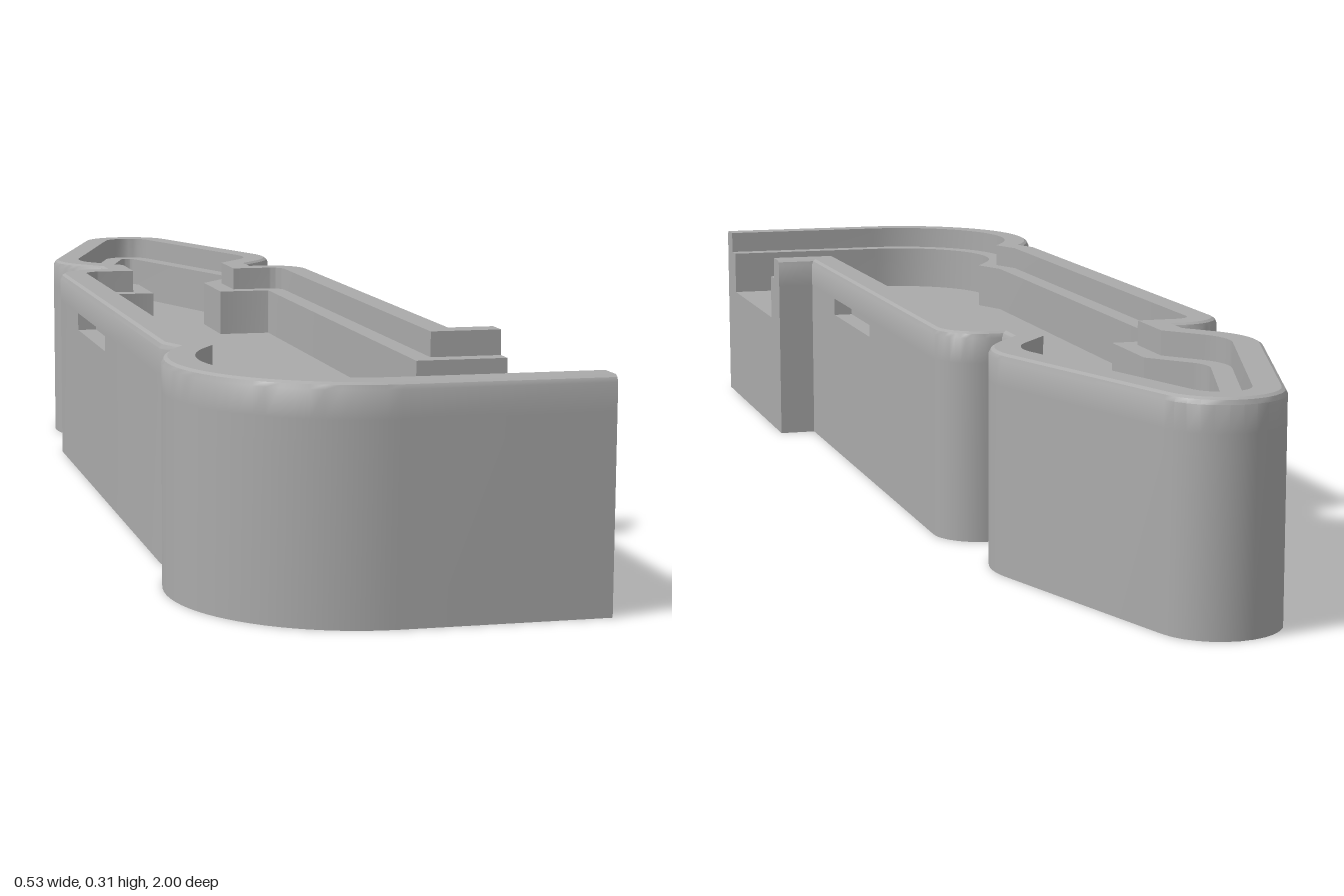
import * as THREE from 'three';
import { toCreasedNormals } from 'three/addons/utils/BufferGeometryUtils.js';

const END_X = 0.265, Z0 = 0.5, Z1 = 1, MID = -0.016;
const SLOT_Y = [0.238, 0.266], SLOT_DEPTH = 0.03;
const SLOTS = [
  { side: 1, x: 0.205, z: [0.065, 0.32] },
  { side: -1, x: -0.237, z: [-0.145, 0.12] },
];

// Wall cross-section: [distance in from the outline, height]
const PROFILE = [
  [0, 0], [0, SLOT_Y[0]], [0, SLOT_Y[1]], [0, 0.303], [0.003, 0.309], [0.008, 0.312],
  [0.045, 0.312], [0.045, 0.275], [0.075, 0.275], [0.075, 0.2],
];

// Outline corners [x, z, fillet radius], open at the flat end
function corners() {
  const [r, l] = SLOTS;
  const neck = [[0.135, -0.4], [0.135, -0.44], [0.213, -0.535, 0.13]];
  const v = [
    [END_X, Z0], [r.x, Z0], [r.x, r.z[1]], [r.x, r.z[0]], [r.x, -0.4, 0.07],
    ...neck.map(([x, z, f]) => [MID + x, z, f]),
    [MID, -1.2, 0.088],
    ...neck.reverse().map(([x, z, f]) => [MID - x, z, f]),
    [l.x, -0.4, 0.07], [l.x, l.z[0]], [l.x, l.z[1]], [l.x, 0.57],
  ];
  // Rounded bulb
  const a0 = Math.atan2(0.14, 0.207), n = 28;
  for (let i = 0; i <= n; i++) {
    const a = -a0 + (a0 + Math.PI / 2) * i / n;
    v.push([-0.015 - 0.25 * Math.cos(a), 0.75 + 0.25 * Math.sin(a)]);
  }
  v.push([END_X, Z1]);
  return v;
}

// Outline moved inwards by d, with fillets; the point count never changes
function outline(d) {
  const v = corners(), last = v.length - 1, out = [];
  const dir = i => {
    const x = v[i + 1][0] - v[i][0], z = v[i + 1][1] - v[i][1], len = Math.hypot(x, z);
    return [x / len, z / len];
  };
  v.forEach(([x, z, fillet], i) => {
    const u = dir(Math.max(i - 1, 0)), w = dir(Math.min(i, last - 1));
    const n1 = [u[1], -u[0]], n2 = [w[1], -w[0]];
    const k = d / (1 + n1[0] * n2[0] + n1[1] * n2[1]);
    const px = x + (n1[0] + n2[0]) * k, pz = z + (n1[1] + n2[1]) * k;
    if (!fillet) { out.push([px, pz]); return; }
    const r = Math.max(fillet - d, 0.001);
    const a1 = Math.atan2(n1[1], n1[0]);
    let turn = Math.atan2(n2[1], n2[0]) - a1;
    turn = Math.atan2(Math.sin(turn), Math.cos(turn));
    const t = r * Math.tan(Math.abs(turn) / 2);
    const cx = px - u[0] * t + n1[0] * r, cz = pz - u[1] * t + n1[1] * r;
    for (let j = 0; j <= 12; j++) {
      const a = a1 + turn * j / 12;
      out.push([cx - r * Math.cos(a), cz - r * Math.sin(a)]);
    }
  });
  return out;
}

// Sweep of the wall section along the outline, leaving the slot openings free
function wallGeometry() {
  const rings = PROFILE.map(([d]) => outline(d));
  const pos = [];
  const inSlot = (p, q) => SLOTS.some(s => [p, q].every(c =>
    Math.abs(c[0] - s.x) < 1e-5 && c[1] > s.z[0] - 1e-5 && c[1] < s.z[1] + 1e-5));
  for (let k = 0; k < PROFILE.length - 1; k++) {
    const y0 = PROFILE[k][1], y1 = PROFILE[k + 1][1];
    for (let i = 0; i < rings[k].length - 1; i++) {
      const a = rings[k][i], b = rings[k][i + 1], c = rings[k + 1][i + 1], e = rings[k + 1][i];
      if (k === 1 && inSlot(a, b)) continue;
      pos.push(a[0], y0, a[1], b[0], y0, b[1], c[0], y1, c[1]);
      pos.push(a[0], y0, a[1], c[0], y1, c[1], e[0], y1, e[1]);
    }
  }
  const g = new THREE.BufferGeometry();
  g.setAttribute('position', new THREE.Float32BufferAttribute(pos, 3));
  return toCreasedNormals(g, 0.5);
}

// Flat cap filling the outline at height y, facing up or down
function cap(d, y, up) {
  const s = up ? -1 : 1;
  const shape = new THREE.Shape(outline(d).map(([x, z]) => new THREE.Vector2(x, s * z)));
  return new THREE.ShapeGeometry(shape).rotateX(s * Math.PI / 2).translate(0, y, 0);
}

// Flat open end, cut through the wall section on both sides
function endFace() {
  const near = PROFILE.map(([d, y]) => new THREE.Vector2(-(Z0 + d), y));
  const far = PROFILE.map(([d, y]) => new THREE.Vector2(-(Z1 - d), y)).reverse();
  return new THREE.ShapeGeometry(new THREE.Shape([...near, ...far]))
    .rotateY(Math.PI / 2).translate(END_X, 0, 0);
}

// Inside-out box that forms a recess in the side wall
function slotRecess({ side, x, z }) {
  const g = new THREE.BoxGeometry(SLOT_DEPTH, SLOT_Y[1] - SLOT_Y[0], z[1] - z[0])
    .scale(-1, 1, 1).toNonIndexed();
  g.computeVertexNormals();
  return g.translate(x - side * SLOT_DEPTH / 2, (SLOT_Y[0] + SLOT_Y[1]) / 2, (z[0] + z[1]) / 2);
}

export function createModel() {
  const grey = new THREE.MeshStandardMaterial({ color: 0xaaaaaa });
  grey.name = 'grey';
  const group = new THREE.Group();
  group.name = 'caseHalf';
  const add = (name, geometry) => {
    const mesh = new THREE.Mesh(geometry, grey);
    mesh.name = name;
    group.add(mesh);
  };
  add('steppedWall', wallGeometry());
  add('floor', cap(0.075, 0.2, true));
  add('underside', cap(0, 0, false));
  add('openEnd', endFace());
  SLOTS.forEach(s => add(s.side > 0 ? 'leftSlot' : 'rightSlot', slotRecess(s)));
  return group;
}
